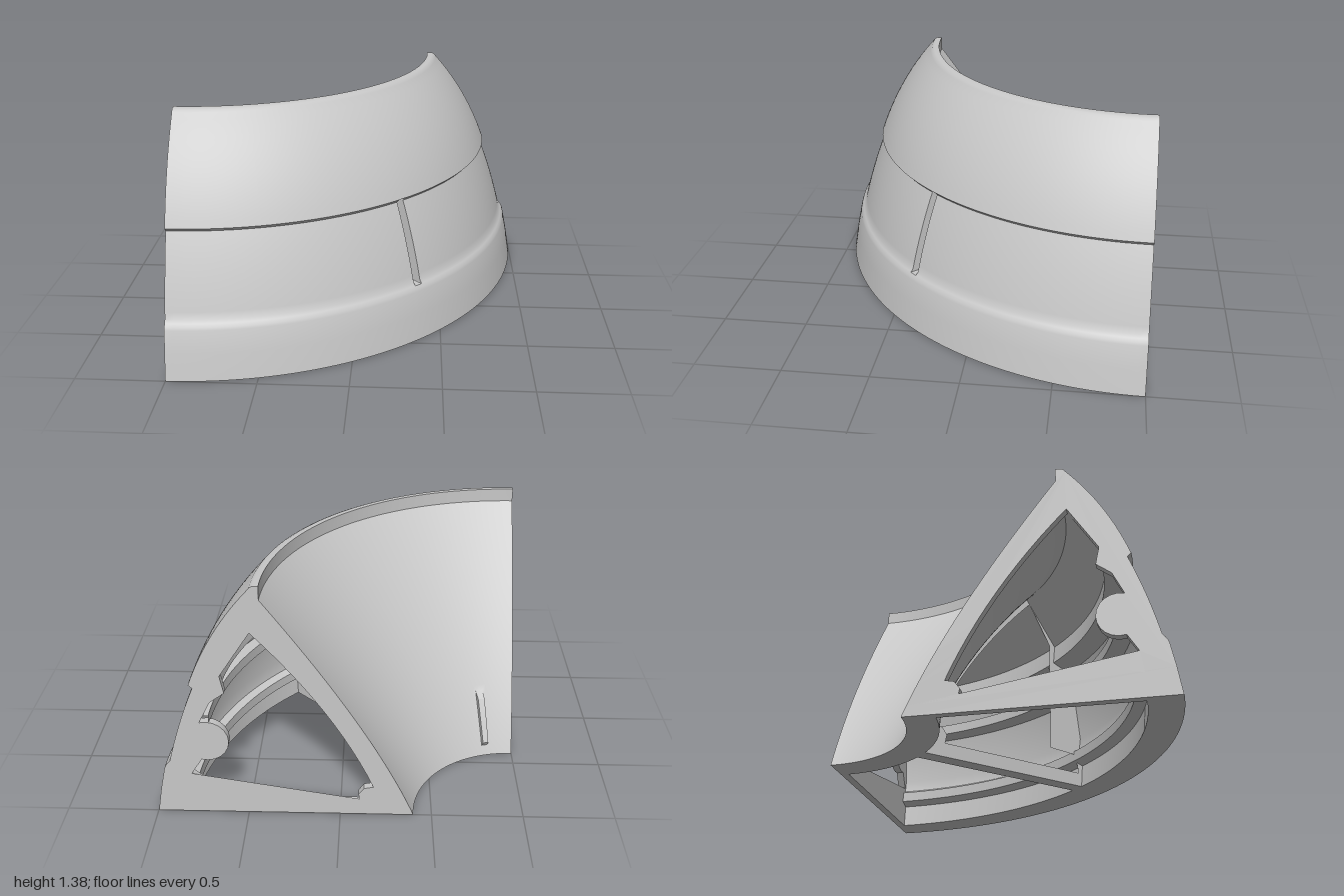
import * as THREE from 'three';
import { toCreasedNormals } from 'three/addons/utils/BufferGeometryUtils.js';

const V = (x, y) => new THREE.Vector2(x, y);
const points = list => list.map(p => V(...p));
const bend = (a, c, b, n) => new THREE.QuadraticBezierCurve(V(...a), V(...c), V(...b)).getPoints(n);

// Cross-section in (radius, height): outer wall up, lip, then the inner funnel down
const outerWall = [
  V(2, 0), V(1.975, 0.15), V(1.948, 0.28), V(1.942, 0.295), V(1.931, 0.311), V(1.928, 0.314),
  ...bend([1.915, 0.33], [1.855, 0.57], [1.765, 0.785], 12),
  ...bend([1.785, 0.805], [1.67, 1.12], [1.455, 1.355], 14),
  V(1.445, 1.368), V(1.43, 1.375), V(1.4, 1.375),
];
const funnel = bend([1.4, 1.3], [0.83, 0.55], [0.6, 0], 40);
const outline = [...outerWall, ...funnel];

// Hidden side of the walls: behind the funnel, then down the outer wall with its rail and lip
const inside = [
  V(0.77, 0), ...bend([0.78, 0.17], [1.0, 0.67], [1.435, 1.14], 12),
  ...points([
    [1.64, 0.87], [1.63, 0.76], [1.74, 0.72], [1.76, 0.62], [1.69, 0.62], [1.69, 0.56],
    [1.785, 0.55], [1.82, 0.3], [1.81, 0.23], [1.77, 0.21], [1.77, 0.15], [1.83, 0.13], [1.82, 0],
  ]),
];

// Opening of the end frames, with a round boss on the outer side
const boss = [];
for (let i = 0; i <= 12; i++) {
  const a = THREE.MathUtils.degToRad(75 + 210 * i / 12);
  boss.push(V(1.71 + 0.12 * Math.cos(a), 0.46 + 0.12 * Math.sin(a)));
}
const innerSide = [
  V(0.89, 0.08), V(0.9, 0.13), V(0.87, 0.17),
  ...bend([0.82, 0.18], [1.03, 0.67], [1.455, 1.115], 12),
];
const endOpening = [
  ...innerSide, V(1.62, 0.86), V(1.6, 0.76), V(1.68, 0.7), ...boss,
  ...points([[1.8, 0.25], [1.75, 0.21], [1.75, 0.15], [1.82, 0.13], [1.83, 0.08]]),
];
const endEdge = [...outerWall.map(p => V(p.x - 0.001, p.y)), ...funnel];

// Middle rib, set back behind the slot, and the cheeks that line the slot
const ribOpening = [...innerSide, ...points([[1.6, 0.87], [1.6, 0.2], [1.78, 0.19], [1.8, 0.08]])];
const ribEdge = [
  V(0.74, 0), ...bend([0.74, 0.16], [0.95, 0.67], [1.39, 1.15], 12),
  ...points([[1.5, 1.15], [1.68, 0.85], [1.69, 0.8], [1.69, 0.3], [1.88, 0.3], [1.9, 0]]),
];
const cheekEdge = points([[1.68, 0.3], [1.87, 0.3], [1.84, 0.4], [1.72, 0.8], [1.68, 0.8]]);

// Deep slot in the outer wall and a small raised bar on the funnel
const slot = { at: Math.PI / 4, half: 0.0135, low: 0.312, high: 0.79 };
const bar = { at: THREE.MathUtils.degToRad(75), half: 0.028, low: 0.08, high: 0.33 };
const within = (d, t, y) => Math.abs(t - d.at) < d.half - 0.0005 && y > d.low && y < d.high;

function wallRadius(i, p, t) {
  if (within(slot, t, p.y)) {
    if (i < outerWall.length) return 1.7;
    if (i >= outline.length) return Math.min(p.x, 1.66);
  }
  const onFunnel = i >= outerWall.length && i < outline.length;
  return onFunnel && within(bar, t, p.y) ? p.x - 0.03 : p.x;
}

// Sweeps the closed section through a quarter turn
function sweptShell() {
  const loop = [...outline, ...inside];
  const angles = [];
  for (let i = 0; i <= 60; i++) angles.push(i / 60 * Math.PI / 2);
  for (const d of [slot, bar]) {
    for (const s of [-1, 1]) angles.push(d.at + s * d.half, d.at + s * (d.half - 0.001));
  }
  angles.sort((a, b) => a - b);

  const pos = [], index = [], n = loop.length;
  angles.forEach((t, j) => {
    loop.forEach((p, i) => {
      const r = wallRadius(i, p, t);
      pos.push(-1 + r * Math.cos(t), p.y, -1 + r * Math.sin(t));
      if (j < angles.length - 1) {
        const a = j * n + i, b = j * n + (i + 1) % n;
        index.push(a, b, a + n, b, b + n, a + n);
      }
    });
  });
  const geo = new THREE.BufferGeometry();
  geo.setAttribute('position', new THREE.Float32BufferAttribute(pos, 3));
  geo.setIndex(index);
  return toCreasedNormals(geo, 0.5);
}

// Flat plate standing in the radial plane at the given angle, with an optional opening
function radialPlate(edge, angle, from, to, opening) {
  const shape = new THREE.Shape(edge);
  if (opening) shape.holes.push(new THREE.Path(opening));
  const geo = new THREE.ExtrudeGeometry(shape, { depth: to - from, bevelEnabled: false });
  geo.translate(0, 0, from);
  geo.rotateY(-angle);
  geo.translate(-1, 0, -1);
  return toCreasedNormals(geo, 0.5);
}

export function createModel() {
  const model = new THREE.Group();
  model.name = 'quarterRing';
  const grey = new THREE.MeshStandardMaterial({ color: 0xc8c8c8 });
  grey.name = 'grey';
  const add = (name, geo) => {
    const mesh = new THREE.Mesh(geo, grey);
    mesh.name = name;
    model.add(mesh);
  };

  add('shell', sweptShell());

  // End frames close the two cut faces
  add('endFrameLeft', radialPlate(endEdge, 0, 0, 0.045, endOpening));
  add('endFrameRight', radialPlate(endEdge, Math.PI / 2, -0.045, 0, endOpening));

  // Middle rib with a cheek on each side of the slot
  add('middleRib', radialPlate(ribEdge, slot.at, -0.045, 0.045, ribOpening));
  add('slotCheekLeft', radialPlate(cheekEdge, slot.at, -0.045, -0.027));
  add('slotCheekRight', radialPlate(cheekEdge, slot.at, 0.027, 0.045));

  return model;
}
